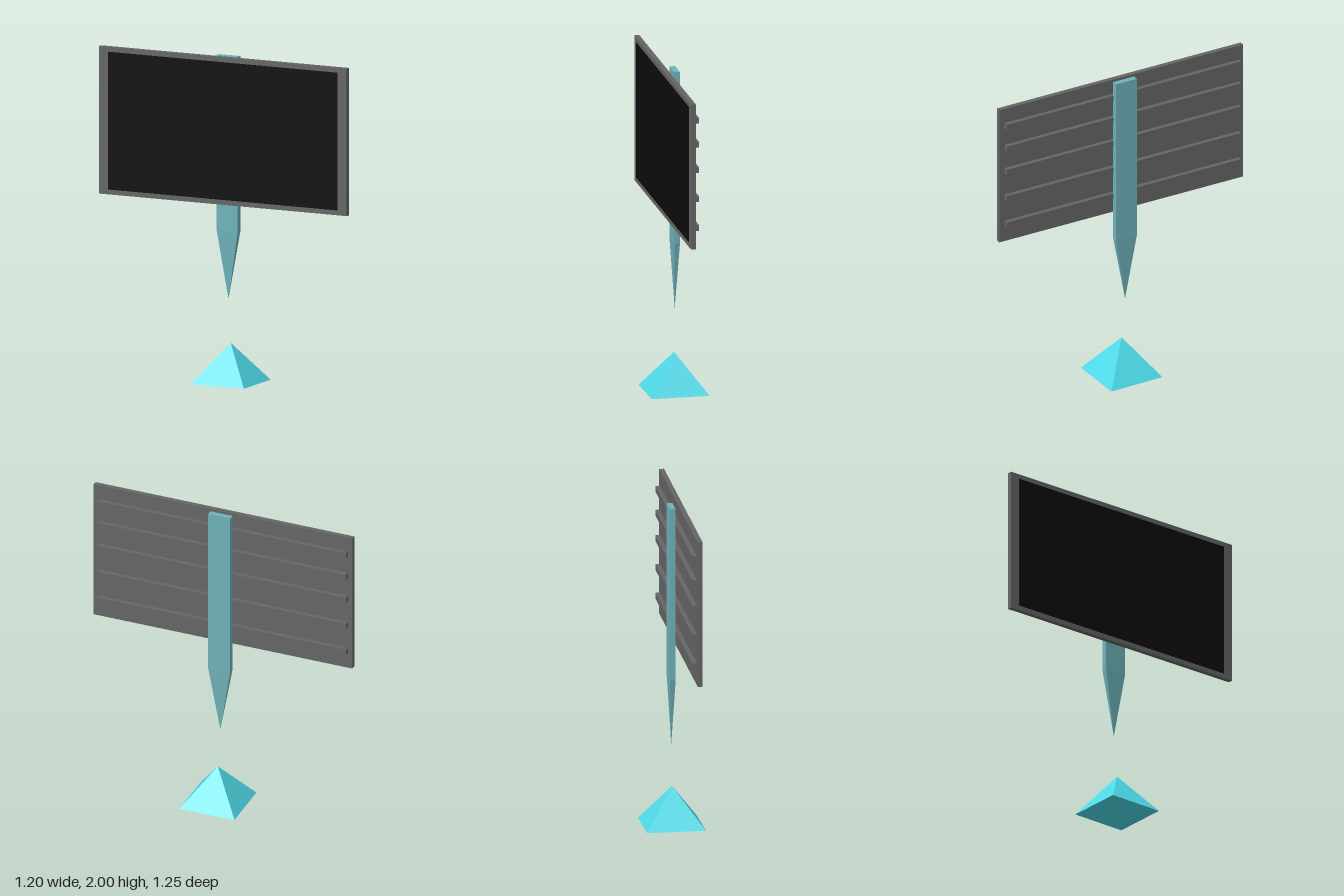
import * as THREE from 'three';

const mat = (color) => new THREE.MeshStandardMaterial({ color, flatShading: true });

function add(parent, name, geometry, material, x, y, z) {
  const mesh = new THREE.Mesh(geometry, material);
  mesh.name = name;
  mesh.position.set(x, y, z);
  parent.add(mesh);
  return mesh;
}

export function createModel() {
  const model = new THREE.Group();
  model.name = 'floatingDisplay';

  const frameMat = mat(0x666666);
  const screenMat = mat(0x0c0c0c);
  const postMat = mat(0x6fb3bb);
  const baseMat = mat(0x4dd9e8);

  // Sign turned diagonally; its local +z is the screen side
  const sign = new THREE.Group();
  sign.name = 'sign';
  sign.rotation.y = THREE.MathUtils.degToRad(-46.25);
  model.add(sign);

  // Panel with a dark screen set on its front face
  add(sign, 'panel', new THREE.BoxGeometry(1.698, 0.905, 0.03), frameMat, 0, 1.5475, -0.001);
  add(sign, 'screen', new THREE.BoxGeometry(1.574, 0.845, 0.004), screenMat, 0, 1.5475, 0.0135);

  // Horizontal slats across the back
  const slatGeo = new THREE.BoxGeometry(1.632, 0.035, 0.028);
  for (const y of [1.887, 1.737, 1.578, 1.397, 1.217]) {
    add(sign, 'slat', slatGeo, frameMat, -0.003, y, -0.03);
  }

  // Post: a flat bar whose lower end is drawn to a point
  const levels = [0.505, 0.928, 2];
  const postGeo = new THREE.BoxGeometry(0.145, 2, 0.035, 1, 2, 1);
  const p = postGeo.attributes.position;
  for (let i = 0; i < p.count; i++) {
    const level = Math.round(p.getY(i)) + 1;
    const s = level === 0 ? 0 : 1;
    p.setXYZ(i, p.getX(i) * s, levels[level], p.getZ(i) * s);
  }
  postGeo.computeVertexNormals();
  add(sign, 'post', postGeo, postMat, -0.001, 0, -0.0605);

  // Four-sided pyramid below the post, its corners on the axes
  add(model, 'basePyramid', new THREE.ConeGeometry(0.254, 0.24, 4), baseMat, 0.051, 0.12, -0.023);

  return model;
}
